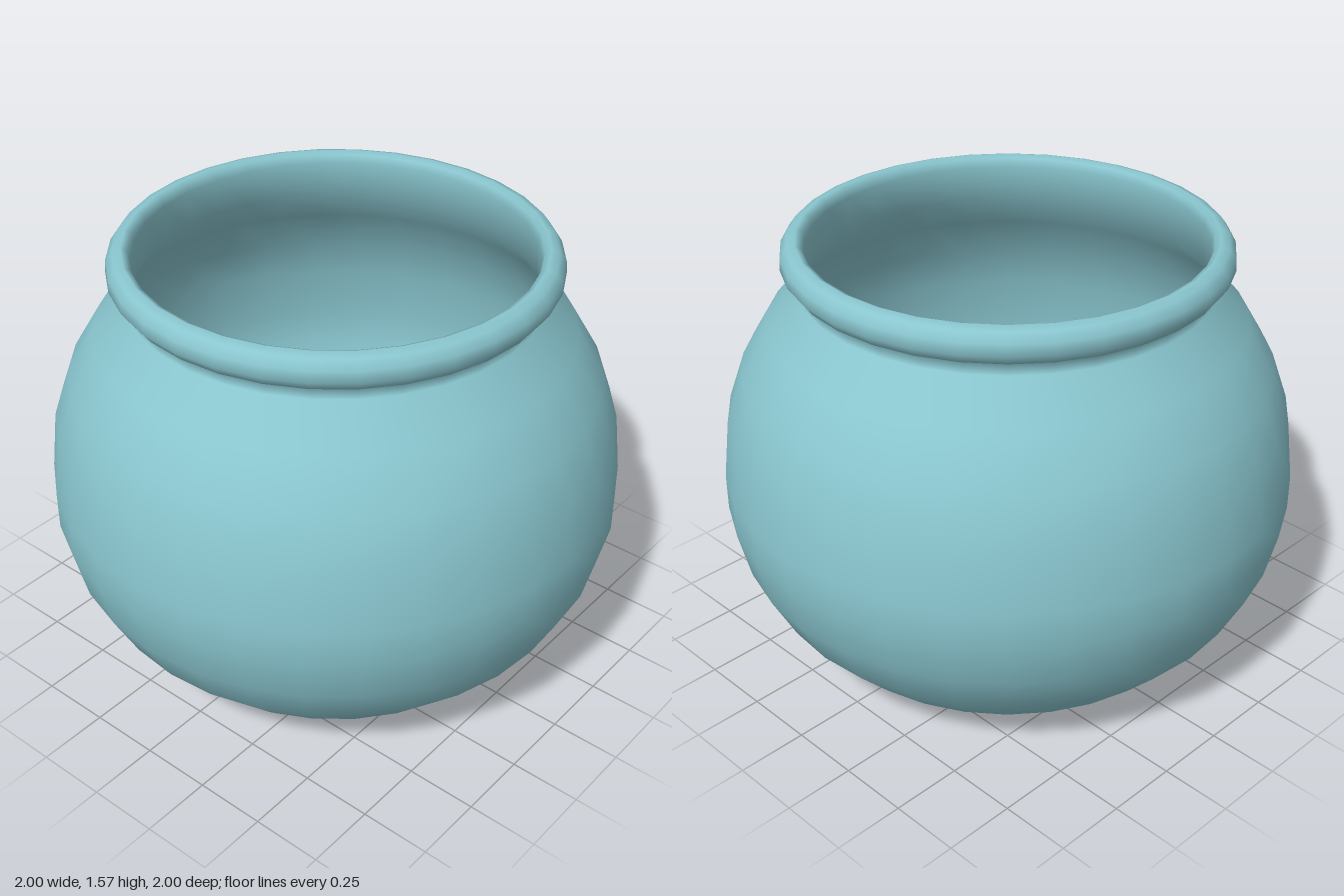
import * as THREE from 'three';

const mat = (name, color, extra = {}) => {
  const m = new THREE.MeshStandardMaterial({ color, ...extra });
  m.name = name;
  return m;
};

// Square cross-sections with cut corners, stacked from [y, halfSize] pairs and capped on top
function chamferedShell(sections, cut) {
  const pos = [], idx = [];
  for (const [y, h] of sections) {
    const c = h * (1 - cut);
    for (const [x, z] of [[h, c], [c, h], [-c, h], [-h, c], [-h, -c], [-c, -h], [c, -h], [h, -c]]) pos.push(x, y, z);
  }
  const rows = sections.length;
  for (let r = 0; r < rows - 1; r++) {
    for (let i = 0; i < 8; i++) {
      const a = r * 8 + i, b = r * 8 + (i + 1) % 8;
      idx.push(a, a + 8, b, b, a + 8, b + 8);
    }
  }
  const top = (rows - 1) * 8;
  for (let i = 1; i < 7; i++) idx.push(top, top + i + 1, top + i);
  const g = new THREE.BufferGeometry();
  g.setAttribute('position', new THREE.Float32BufferAttribute(pos, 3));
  g.setIndex(idx);
  g.computeVertexNormals();
  return g;
}

// Gently rolling sand height
const bump = (x, z, cx, cz, s) => Math.exp(-((x - cx) ** 2 + (z - cz) ** 2) / (s * s));
const sandHeight = (x, z) => 0.055
  + 0.008 * Math.sin(5 * x + 1) * Math.cos(6 * z)
  + 0.035 * bump(x, z, -0.4, 0.08, 0.2)
  - 0.025 * bump(x, z, -0.15, 0.32, 0.2)
  - 0.04 * bump(x, z, -0.4, -0.48, 0.2);

export function createModel() {
  const model = new THREE.Group();
  model.name = 'fishBowl';
  const glass = mat('glass blue', 0x8ac6cf, { side: THREE.DoubleSide });
  const sandMat = mat('sand', 0xe0c278, { side: THREE.DoubleSide });
  const red = mat('red', 0xd82626, { side: THREE.DoubleSide });
  const green = mat('leaf green', 0x70a22e, { side: THREE.DoubleSide, flatShading: true });
  const stone = mat('stone blue', 0x86b9c8, { flatShading: true });

  const add = (name, geo, material, parent = model) => {
    const m = new THREE.Mesh(geo, material);
    m.name = name;
    parent.add(m);
    return m;
  };

  // Bowl: outer wall up, over the rolled rim, and down the inner wall; open underneath
  const profile = [
    [0.565, 0.01], [0.74, 0.12], [0.875, 0.265], [0.96, 0.43], [1, 0.6], [1, 0.73],
    [0.975, 0.94], [0.915, 1.11], [0.82, 1.27], [0.705, 1.4], [0.7, 1.44], [0.735, 1.455],
    [0.76, 1.49], [0.757, 1.53], [0.735, 1.56], [0.705, 1.57], [0.685, 1.56], [0.678, 1.53],
    [0.68, 1.4], [0.8, 1.26], [0.893, 1.1], [0.953, 0.935], [0.977, 0.73], [0.977, 0.6],
    [0.938, 0.44], [0.856, 0.28], [0.725, 0.138], [0.55, 0.02], [0.565, 0.01],
  ].map(([x, y]) => new THREE.Vector2(x, y));
  add('bowl', new THREE.LatheGeometry(profile, 32), glass);

  // Sand bed
  const sand = new THREE.RingGeometry(0.001, 0.6, 32, 10);
  sand.rotateX(-Math.PI / 2);
  const p = sand.attributes.position;
  for (let i = 0; i < p.count; i++) p.setY(i, sandHeight(p.getX(i), p.getZ(i)));
  sand.computeVertexNormals();
  add('sand', sand, sandMat);

  // Hollow red ornament, half sunk in the sand
  const ornament = add('ornament', chamferedShell(
    [[0, 0.105], [0.08, 0.17], [0.13, 0.187], [0.33, 0.187], [0.38, 0.165], [0.4, 0.13]], 0.16), red);
  ornament.position.set(-0.165, 0, -0.3);

  // Faceted stone
  const rock = add('rock', new THREE.IcosahedronGeometry(0.13, 0), stone);
  rock.position.set(0.24, 0.15, -0.02);
  rock.rotation.set(0.3, 0.4, 0.2);

  // Plant leaves: base x, z, tip x, z, tip height
  const plants = new THREE.Group();
  plants.name = 'plants';
  model.add(plants);
  const leaves = [
    [0.2, -0.1, 0.04, -0.6, 0.62], [0.23, -0.14, 0.24, -0.53, 0.55], [0.23, -0.15, 0.49, -0.46, 0.6],
    [0.36, -0.13, 0.56, -0.39, 0.55], [0.42, -0.1, 0.66, -0.28, 0.55],
    [0.45, -0.04, 0.76, 0.01, 0.55], [0.45, 0.05, 0.74, 0.13, 0.55], [0.43, 0.24, 0.62, 0.38, 0.45],
  ];
  const up = new THREE.Vector3(0, 1, 0);
  for (const [bx, bz, tx, tz, h] of leaves) {
    const base = new THREE.Vector3(bx, 0.05, bz);
    const dir = new THREE.Vector3(tx, h, tz).sub(base);
    const len = dir.length();
    const blade = new THREE.LatheGeometry(
      [[0.018, 0], [0.036, 0.3 * len], [0.026, 0.65 * len], [0, len]].map(([x, y]) => new THREE.Vector2(x, y)), 4);
    blade.scale(1, 1, 0.4);
    // Broad side faces up the lean
    const yAxis = dir.clone().normalize();
    const xAxis = new THREE.Vector3().crossVectors(yAxis, up).normalize();
    const zAxis = new THREE.Vector3().crossVectors(xAxis, yAxis);
    const leaf = add('leaf', blade, green, plants);
    leaf.quaternion.setFromRotationMatrix(new THREE.Matrix4().makeBasis(xAxis, yAxis, zAxis));
    leaf.position.copy(base);
  }
  return model;
}
